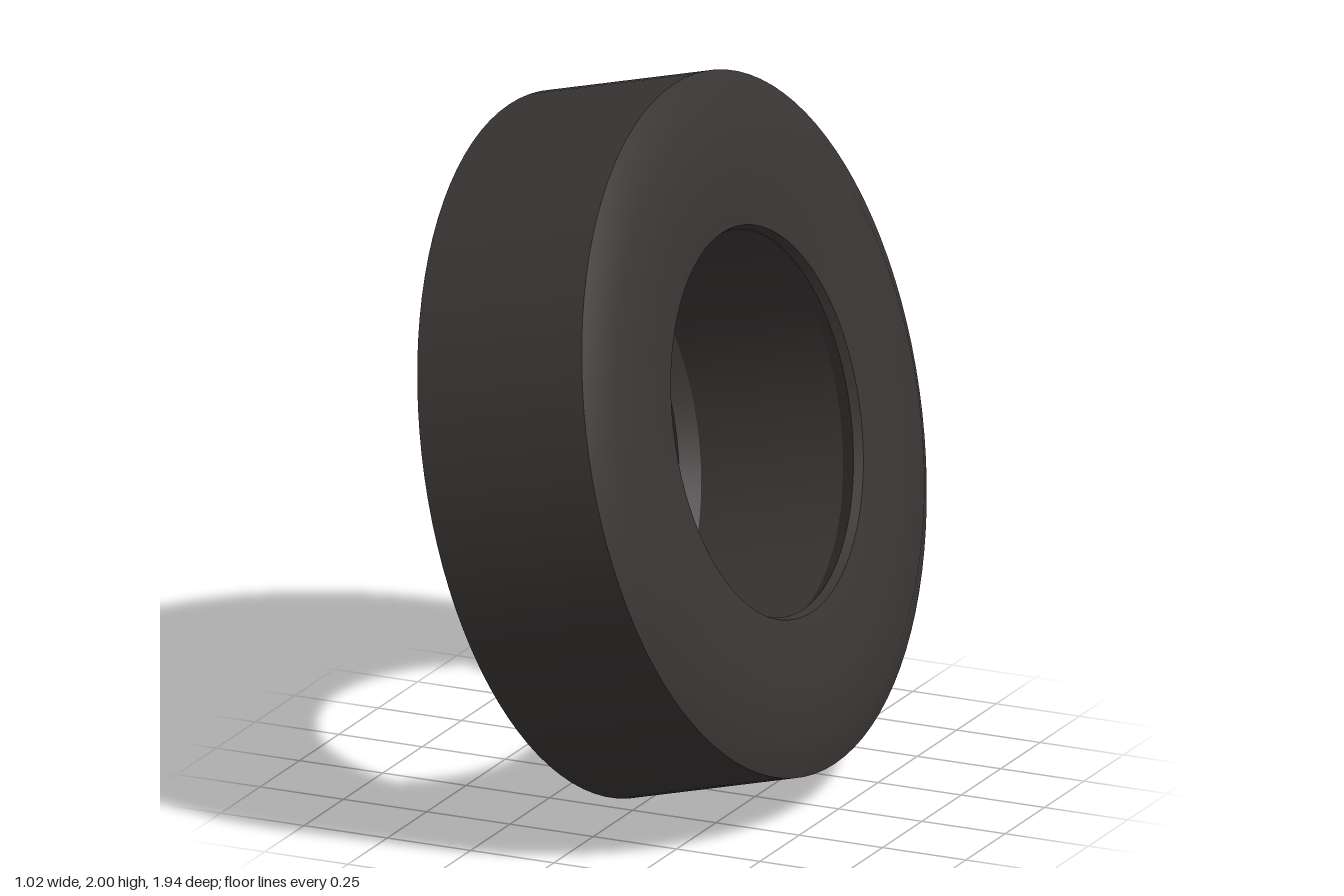
import * as THREE from 'three';

export function createModel() {
  const model = new THREE.Group();
  model.name = 'tire';
  const rubber = new THREE.MeshStandardMaterial({ color: 0x3a3535 });
  rubber.name = 'dark rubber';

  // Half cross-section corners: [radius, distance along the axle]
  const shoulder = [0.968, 0.255];
  const rim = [0.54, 0.295];
  const lip = [0.53, 0.27];
  const groove = [0.562, 0.22];

  // Each band is its own lathe, so edges stay sharp between bands
  const band = (name, points) => {
    const profile = points.map(([r, y]) => new THREE.Vector2(r, y));
    const mesh = new THREE.Mesh(new THREE.LatheGeometry(profile, 96), rubber);
    mesh.name = name;
    model.add(mesh);
  };
  const mirror = (points) => points.map(([r, y]) => [r, -y]).reverse();
  const bothSides = (name, points) => {
    band('left' + name, points);
    band('right' + name, mirror(points));
  };

  // Tread and inner wall
  band('tread', [[shoulder[0], -shoulder[1]], shoulder]);
  band('innerWall', [groove, [groove[0], -groove[1]]]);

  // Bulging sidewalls and the bead lips around the hole
  bothSides('Sidewall', [shoulder, [0.865, 0.305], [0.7, 0.315], rim]);
  bothSides('BeadEdge', [rim, lip]);
  bothSides('BeadSlope', [lip, groove]);

  // Lean the tire to one side, axle near x
  model.rotation.z = THREE.MathUtils.degToRad(14.5 - 90);
  model.position.y = 1;

  const root = new THREE.Group();
  root.name = 'leaningTire';
  root.add(model);
  return root;
}
